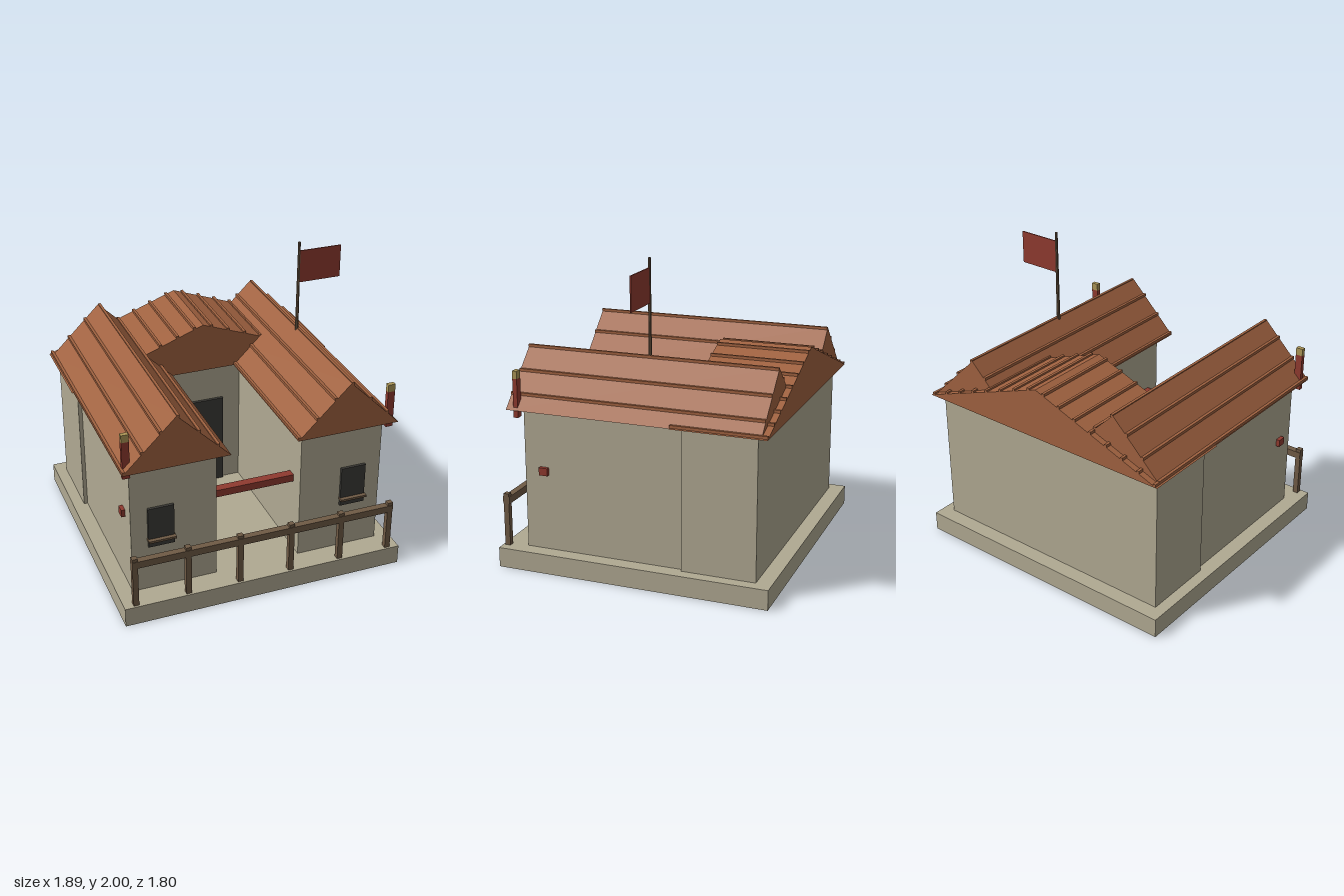
import * as THREE from 'three';

const mat = (color) => new THREE.MeshStandardMaterial({ color, flatShading: true });

export function createModel() {
  const wall = mat(0xb0a992), roof = mat(0xa06240), wood = mat(0x6f5a45);
  const dark = mat(0x3b3a36), red = mat(0x8f3a2f), gold = mat(0xab9556);
  const root = new THREE.Group();

  // Box given by its min and max on each axis
  function box(name, material, x0, x1, y0, y1, z0, z1, parent = root) {
    const mesh = new THREE.Mesh(new THREE.BoxGeometry(x1 - x0, y1 - y0, z1 - z0), material);
    mesh.position.set((x0 + x1) / 2, (y0 + y1) / 2, (z0 + z1) / 2);
    mesh.name = name;
    parent.add(mesh);
    return mesh;
  }

  // Solid gable roof with its ridge along z and battens at the given offsets from the ridge
  const EAVE = 1.05, RISE = 0.34;
  function gableRoof(name, cx, half, z0, z1, offsets) {
    const group = new THREE.Group();
    group.name = name;
    group.position.x = cx;
    const shape = new THREE.Shape();
    shape.moveTo(-half, EAVE);
    shape.lineTo(half, EAVE);
    shape.lineTo(0, EAVE + RISE);
    shape.closePath();
    const geometry = new THREE.ExtrudeGeometry(shape, { depth: z1 - z0, bevelEnabled: false });
    geometry.translate(0, 0, z0);
    const slab = new THREE.Mesh(geometry, roof);
    slab.name = name + 'Slopes';
    group.add(slab);
    for (const x of offsets) {
      const y = EAVE + RISE * (1 - Math.abs(x) / half) + 0.006;
      box('roofBatten', roof, x - 0.009, x + 0.009, y - 0.009, y + 0.009, z0, z1, group);
    }
    root.add(group);
  }

  // Platform and rear hall
  box('platform', wall, -0.945, 0.945, 0, 0.13, -0.9, 0.9);
  box('rearHall', wall, -0.87, 0.87, 0.13, 1.05, -0.8, -0.32);
  box('door', dark, -0.16, 0.16, 0.13, 0.785, -0.32, -0.3);

  // Rear roof with evenly spaced battens
  const rearBattens = [];
  for (let i = 0; i < 16; i++) rearBattens.push(-0.9 + i * 0.12);
  gableRoof('rearRoof', 0, 0.92, -0.87, -0.26, rearBattens);

  // Side wings with roof, window, sill and corner banner post
  for (const s of [-1, 1]) {
    const cx = s * 0.565;
    box('wing', wall, cx - 0.28, cx + 0.28, 0.13, 1.05, -0.32, 0.74);
    gableRoof('wingRoof', cx, 0.345, -0.83, 0.83, [-0.335, -0.218, -0.1, 0.01, 0.14, 0.262]);
    const wx = s * 0.652;
    box('window', dark, wx - 0.085, wx + 0.085, 0.45, 0.73, 0.74, 0.758);
    box('windowSill', wood, wx - 0.09, wx + 0.09, 0.495, 0.51, 0.74, 0.785);
    const px = s * 0.87;
    box('bannerPost', red, px - 0.024, px + 0.024, 1.0, 1.25, 0.755, 0.785);
    box('bannerCap', gold, px - 0.024, px + 0.024, 1.25, 1.3, 0.755, 0.785);
  }

  // Tie beam through both wings
  box('tieBeam', red, -0.87, 0.87, 0.63, 0.68, 0.578, 0.636);

  // Front railing
  box('rail', wood, -0.885, 0.885, 0.412, 0.46, 0.845, 0.89);
  for (let i = 0; i < 6; i++) {
    const x = -0.867 + i * 0.3468;
    box('railPost', wood, x - 0.018, x + 0.018, 0.13, 0.48, 0.85, 0.886);
  }

  // Flag and pole
  const pole = new THREE.Mesh(new THREE.CylinderGeometry(0.009, 0.012, 0.64, 8), wood);
  pole.position.set(0.565, 1.68, 0);
  pole.name = 'flagPole';
  root.add(pole);
  box('flag', red, 0.572, 0.86, 1.72, 1.94, -0.004, 0.004);

  return root;
}
